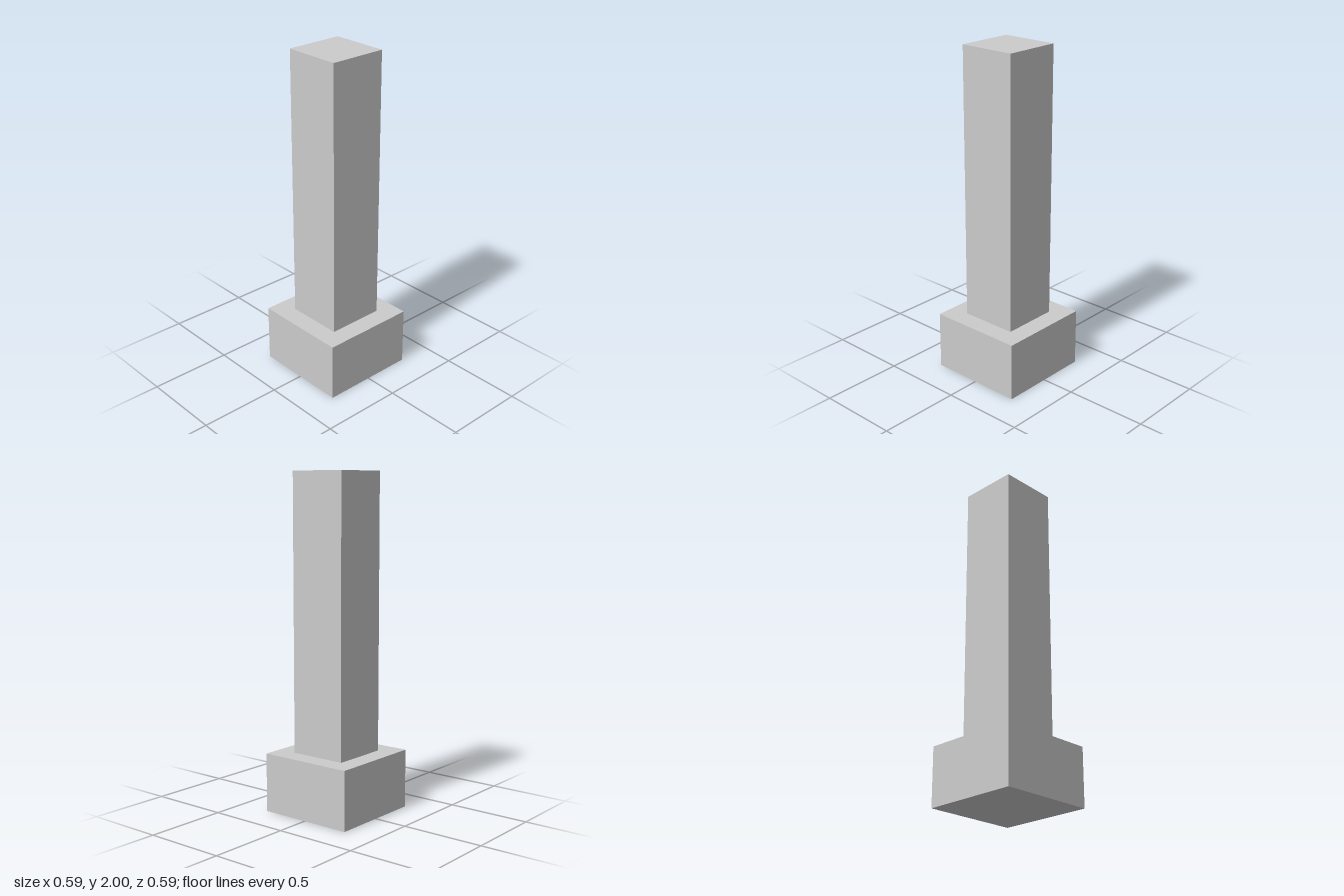
import * as THREE from 'three';

const material = new THREE.MeshStandardMaterial({ color: 0xcccccc, flatShading: true });

// Square block standing on height y
function block(name, width, height, y) {
  const mesh = new THREE.Mesh(new THREE.BoxGeometry(width, height, width), material);
  mesh.name = name;
  mesh.position.y = y + height / 2;
  return mesh;
}

export function createModel() {
  const model = new THREE.Group();
  model.name = 'pillar';

  const baseHeight = 0.353;
  model.add(block('base', 0.588, baseHeight, 0)); // wide footing
  model.add(block('shaft', 0.353, 2 - baseHeight, baseHeight)); // tall column

  return model;
}
